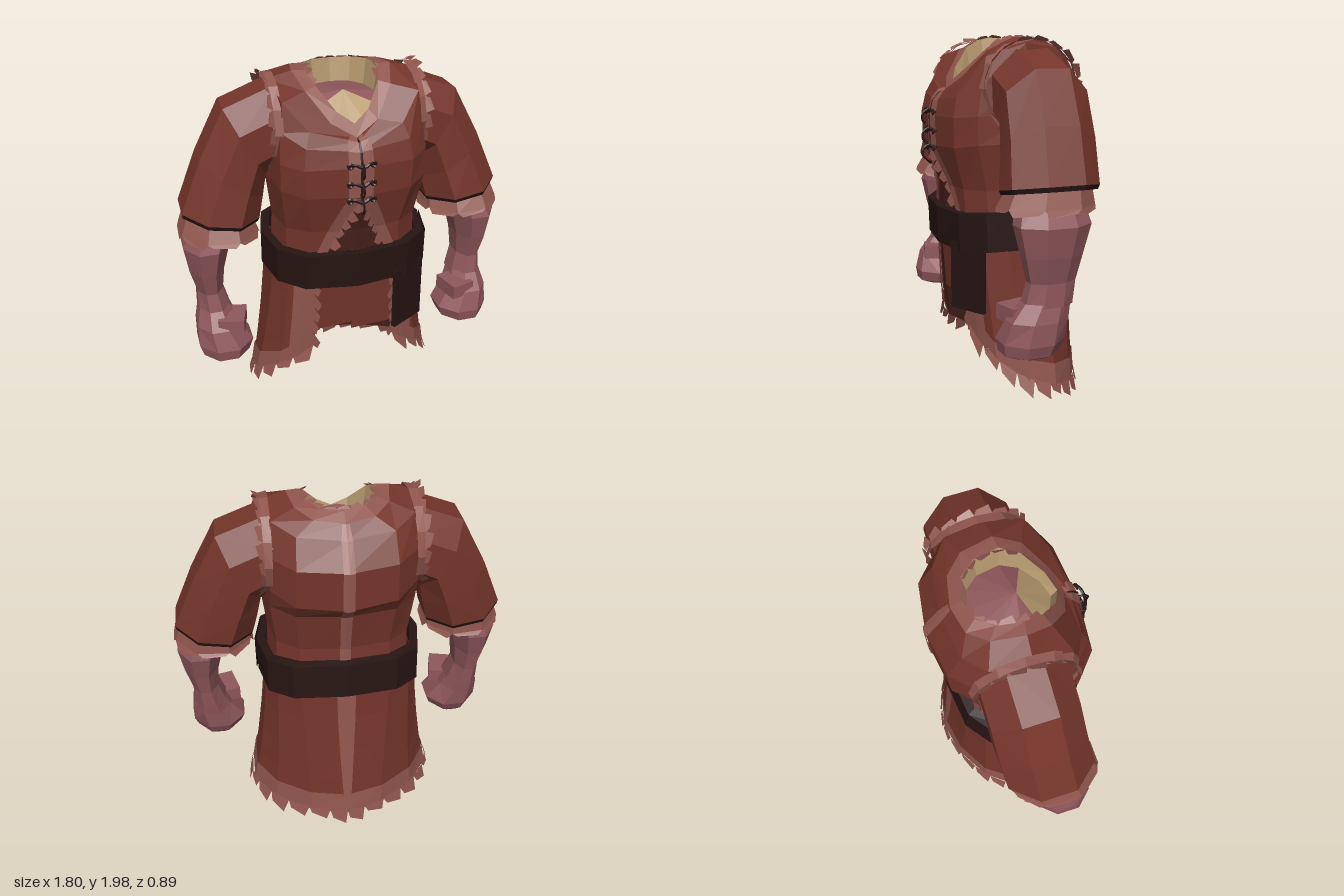
import * as THREE from 'three';

const RED = 0x74352b, DARK_RED = 0x47201b, TRIM = 0x90564e, LEATHER = 0x261412, SKIN = 0x8f575b, TAN = 0xb89b70;
const TAU = Math.PI * 2, SIDES = 12;
const V = (x, y, z) => new THREE.Vector3(x, y, z);

function mesh(parent, name, color, geo) {
  const m = new THREE.Mesh(geo, new THREE.MeshStandardMaterial({ color, flatShading: true, side: THREE.DoubleSide }));
  m.name = name;
  parent.add(m);
  return m;
}

function fromPoints(points) {
  const g = new THREE.BufferGeometry().setFromPoints(points);
  g.computeVertexNormals();
  return g;
}

// Grid of quads over fn(u, v); u runs right and v up when seen from outside
function sheet(parent, name, color, fn, [u0, u1, nu], [v0, v1, nv]) {
  const pts = [], at = (i, j) => fn(u0 + (u1 - u0) * i / nu, v0 + (v1 - v0) * j / nv);
  for (let i = 0; i < nu; i++) for (let j = 0; j < nv; j++) {
    const a = at(i, j), b = at(i + 1, j), c = at(i + 1, j + 1), d = at(i, j + 1);
    pts.push(a, b, c, a, c, d);
  }
  return mesh(parent, name, color, fromPoints(pts));
}

// Ragged row of fur teeth along base(t), pointing along dir(t)
function fringe(parent, name, color, base, dir, n, len) {
  const pts = [];
  for (let i = 0; i < n; i++) {
    const vary = 0.55 + 0.45 * Math.abs(Math.sin(i * 2.3 + 1));
    const tip = (t, k) => base(t).addScaledVector(dir(t), len * vary * k);
    const a = i / n, b = (i + 1) / n;
    const p = base(a), q = base(b), r = tip(b - 0.15 / n, 1), s = tip(a + 0.15 / n, 0.6);
    pts.push(p, r, q, p, s, r);
  }
  return mesh(parent, name, color, fromPoints(pts));
}

// Body ring: half width, front z, back z, y at side, front and back, squareness at back and front
function ringPoint([hw, zF, zB, yS, yF, yB, eB = 0.7, eF = eB], a) {
  const s = Math.sin(a), c = Math.cos(a), pow = k => Math.sign(k) * Math.abs(k) ** (c > 0 ? eF : eB);
  return V(hw * pow(s), yS + ((c > 0 ? yF : yB) - yS) * c * c, (zF + zB) / 2 + (zF - zB) / 2 * pow(c));
}
function facetPoint(ring, a) {
  const k = a / TAU * SIDES, i = Math.floor(k + 1e-9);
  return ringPoint(ring, i / SIDES * TAU).lerp(ringPoint(ring, (i + 1) / SIDES * TAU), k - i);
}
function body(rings) {
  return (a, v) => {
    const j = Math.max(0, Math.min(rings.length - 2, Math.floor(v + 1e-9)));
    return facetPoint(rings[j], a).lerp(facetPoint(rings[j + 1], a), v - j);
  };
}
const push = (fn, k) => (a, v) => { const p = fn(a, v); p.x *= k; p.z *= k; return p; };

// Limb ring: outer x, y, inner x, y, back z, front z
function limb(rings) {
  return (a, v) => {
    const j = Math.min(rings.length - 2, Math.floor(v + 1e-9)), f = v - j;
    const [tx, ty, bx, by, z0, z1] = rings[j].map((n, i) => n + (rings[j + 1][i] - n) * f);
    const c = Math.cos(a), s = Math.sin(a);
    return V((tx + bx) / 2 + (tx - bx) / 2 * c, (ty + by) / 2 + (ty - by) / 2 * c, (z0 + z1) / 2 + (z1 - z0) / 2 * s);
  };
}

function buildTorso(g) {
  const torso = body([
    [0.40, 0.30, -0.30, 0.95, 0.95, 0.95],
    [0.39, 0.32, -0.285, 1.20, 1.20, 1.20],
    [0.42, 0.38, -0.33, 1.45, 1.41, 1.43, 0.7, 0.6],
    [0.415, 0.385, -0.40, 1.59, 1.57, 1.51, 0.7, 0.55],
    [0.405, 0.365, -0.405, 1.77, 1.65, 1.73, 0.7, 0.6],
    [0.39, 0.33, -0.32, 1.945, 1.69, 1.86],
    [0.26, 0.30, -0.27, 1.98, 1.70, 1.925, 0.8, 1.1],
    [0.195, 0.26, -0.21, 1.98, 1.76, 1.965, 0.85, 1.25],
    [0.175, 0.23, -0.19, 1.84, 1.71, 1.84, 0.85, 1.2],
  ]);
  sheet(g, 'torso', RED, torso, [0, TAU, SIDES], [0, 6, 6]);
  sheet(g, 'collarTrim', TRIM, torso, [0, TAU, SIDES], [6, 7, 1]);
  sheet(g, 'collarLining', TAN, torso, [0, TAU, SIDES], [7, 8, 1]);
  const floor = (a, v) => torso(a, 8).lerp(V(0, 1.87, 0.05), v);
  sheet(g, 'collarFloorBack', SKIN, floor, [Math.PI / 3, TAU - Math.PI / 3, 8], [0, 1, 1]);
  sheet(g, 'collarFloorFront', TAN, floor, [-Math.PI / 3, Math.PI / 3, 4], [0, 1, 1]);
  fringe(g, 'collarFur', TRIM, t => torso(1.1 + t * (TAU - 2.2), 7), t => {
    const a = 1.1 + t * (TAU - 2.2);
    return V(-Math.sin(a) * 0.8, 0.35, -Math.cos(a) * 0.5);
  }, 13, 0.045);

  // Centre trims and seam
  sheet(g, 'chestTrim', TRIM, push(torso, 1.02), [-0.12, 0.12, 2], [2, 6, 4]);
  sheet(g, 'chestSeam', LEATHER, push(torso, 1.035), [-0.012, 0.012, 2], [2, 6, 4]);
  sheet(g, 'backStripe', TRIM, push(torso, 1.02), [Math.PI - 0.06, Math.PI + 0.06, 2], [0, 6, 6]);

  // Flared opening under the laces
  const wide = v => 0.32 * (2 - v) / 1.5;
  sheet(g, 'waistOpening', DARK_RED, (u, v) => push(torso, 1.015)(u * wide(v), v), [-1, 1, 4], [0.5, 2, 6]);
  for (const m of [-1, 1]) {
    const edge = (u, v) => push(torso, 1.04)(m * (wide(v) + u * 0.12), v);
    sheet(g, 'openingTrim', TRIM, edge, [0, 1, 1], [0.5, 2, 6]);
    fringe(g, 'openingFur', TRIM, t => edge(0, 0.6 + t * 1.3), () => V(-m * 0.6, -0.8, 0.35), 5, 0.055);
  }

  // Laces
  for (const y of [1.59, 1.49, 1.40]) {
    const bow = new THREE.CatmullRomCurve3([V(-0.075, y, 0.385), V(-0.04, y + 0.01, 0.405), V(0, y - 0.005, 0.415), V(0.04, y + 0.01, 0.405), V(0.075, y, 0.385)]);
    mesh(g, 'lace', LEATHER, new THREE.TubeGeometry(bow, 10, 0.009, 5));
    for (const x of [-0.06, 0.06]) mesh(g, 'laceEyelet', LEATHER, new THREE.TorusGeometry(0.014, 0.005, 4, 8)).position.set(x, y, 0.395);
    const loop = mesh(g, 'laceLoop', LEATHER, new THREE.TorusGeometry(0.042, 0.006, 4, 8, Math.PI));
    loop.rotation.y = -Math.PI / 2;
    loop.rotateZ(-0.9);
    loop.position.set(0, y - 0.03, 0.395);
  }
}

function buildSkirt(g) {
  const A0 = 0.4, A1 = TAU - A0;
  const top = [0.425, 0.30, -0.335, 0.98, 0.98, 0.98], hem = [0.53, 0.28, -0.425, 0, 0, 0, 1.2, 0.9];
  const skirt = (a, v) => {
    const d = Math.min(a, TAU - a) - A0, w = 1 - v;
    const p = ringPoint(top, a).lerp(ringPoint(hem, a), w ** 1.5);
    p.y = 0.98 + (0.07 + 0.39 * Math.exp(-d / 0.85) - 0.98) * w;
    return p;
  };
  sheet(g, 'skirt', RED, skirt, [A0, A1, 12], [0, 1, 4]);
  sheet(g, 'skirtLining', DARK_RED, push(skirt, 0.98), [A0, A1, 12], [0, 1, 4]);
  const out = push(skirt, 1.018);
  sheet(g, 'hemTrim', TRIM, out, [A0, A1, 12], [0, 0.15, 1]);
  sheet(g, 'skirtBackStripe', TRIM, out, [Math.PI - 0.05, Math.PI + 0.05, 2], [0, 1, 4]);
  fringe(g, 'hemFur', TRIM, t => out(A0 + t * (A1 - A0), 0.02), t => {
    const a = A0 + t * (A1 - A0);
    return V(Math.sin(a) * 0.3, -1, Math.cos(a) * 0.2);
  }, 22, 0.095);
  for (const m of [0, 1]) {
    const edge = (u, v) => push(skirt, 1.03)(m ? TAU - A0 - u : A0 + u, v);
    sheet(g, 'frontEdgeTrim', TRIM, edge, [0, 0.32, 2], [0, 1, 4]);
    fringe(g, 'frontEdgeFur', TRIM, t => edge(0, t * 0.85), () => V(m ? 0.6 : -0.6, -0.9, 0.15), 5, 0.065);
  }
  // Overlapping under-flaps
  const flap = (x0, x1, z, y) => (u, v) => V(x0 + (x1 - x0) * u, y + (0.98 - y) * v + 0.02 * u * (1 - v), z - 0.03 * (1 - v));
  sheet(g, 'flapRight', RED, flap(-0.26, 0.07, 0.26, 0.54), [0, 1, 3], [0, 1, 2]);
  sheet(g, 'flapLeft', RED, (u, v) => flap(-0.01 + 0.08 * v * v, 0.27, 0.285, 0.53)(u, v), [0, 1, 3], [0, 1, 3]);
}

function buildBelt(g) {
  const belt = body([
    [0.41, 0.31, -0.31, 0.90, 0.88, 0.95],
    [0.455, 0.355, -0.36, 0.90, 0.87, 0.93],
    [0.455, 0.36, -0.335, 1.10, 1.07, 1.12],
    [0.41, 0.31, -0.28, 1.10, 1.07, 1.13],
  ]);
  sheet(g, 'belt', LEATHER, belt, [0, TAU, SIDES], [0, 3, 3]);
  sheet(g, 'beltOverlap', LEATHER, push(belt, 1.02), [Math.PI / 9, Math.PI / 2, 7], [1, 2, 1]);
  const strap = mesh(g, 'beltStrap', LEATHER, new THREE.BoxGeometry(0.22, 0.36, 0.025));
  strap.position.set(0.305, 0.74, 0.29);
  strap.rotation.y = 0.52;
}

function buildArm(side) {
  const g = new THREE.Group();
  g.name = side > 0 ? 'leftArm' : 'rightArm';
  g.scale.x = side;
  const around = [Math.PI / 8, TAU + Math.PI / 8, 8];
  sheet(g, 'sleeve', RED, limb([
    [0.34, 1.95, 0.36, 1.48, -0.27, 0.20],
    [0.63, 1.84, 0.41, 1.44, -0.27, 0.20],
    [0.775, 1.57, 0.43, 1.33, -0.265, 0.22],
    [0.89, 1.30, 0.455, 1.22, -0.25, 0.25],
  ]), around, [0, 3, 3]);
  const rim = limb([[0.89, 1.30, 0.455, 1.22, -0.25, 0.25], [0.885, 1.275, 0.465, 1.20, -0.24, 0.24], [0.80, 1.27, 0.55, 1.22, -0.18, 0.19]]);
  sheet(g, 'sleeveRim', LEATHER, rim, around, [0, 2, 2]);
  const cuff = limb([[0.86, 1.29, 0.49, 1.23, -0.21, 0.22], [0.9, 1.19, 0.47, 1.16, -0.22, 0.27]]);
  sheet(g, 'cuff', TRIM, cuff, around, [0, 1, 1]);
  fringe(g, 'cuffFur', TRIM, t => cuff(Math.PI / 8 + t * TAU, 1), t => V(Math.cos(t * TAU) * 0.2, -1, Math.sin(t * TAU) * 0.2), 8, 0.035);

  // Fur around the armhole
  const hole = limb([[0.35, 1.97, 0.36, 1.48, -0.30, 0.25], [0.405, 1.965, 0.40, 1.48, -0.285, 0.225]]);
  sheet(g, 'armholeTrim', TRIM, hole, [0, TAU, 12], [0, 1, 1]);
  fringe(g, 'armholeFur', TRIM, t => hole(t * TAU, 0.8), t => V(0.7, Math.cos(t * TAU) * 0.4, Math.sin(t * TAU) * 0.3), 18, 0.055);

  // Forearm and fist
  const row = (y, x0, x1, z0, z1) => [x1, y, x0, y, z0, z1];
  sheet(g, 'forearm', SKIN, limb([
    row(1.27, 0.58, 0.82, -0.13, 0.17), row(1.10, 0.63, 0.895, -0.175, 0.225),
    row(0.95, 0.67, 0.87, -0.13, 0.19), row(0.82, 0.685, 0.835, -0.10, 0.155),
    row(0.70, 0.65, 0.84, -0.09, 0.18),
  ]), around, [0, 4, 4]);
  sheet(g, 'fist', SKIN, limb([
    row(0.72, 0.66, 0.835, -0.08, 0.18), row(0.63, 0.62, 0.86, -0.07, 0.25), row(0.52, 0.545, 0.865, -0.06, 0.285),
    row(0.46, 0.57, 0.845, -0.03, 0.275), row(0.43, 0.64, 0.78, 0, 0.2), row(0.43, 0.71, 0.71, 0.1, 0.1),
  ]), around, [0, 5, 5]);
  const thumb = mesh(g, 'thumb', SKIN, new THREE.BoxGeometry(0.14, 0.08, 0.17));
  thumb.rotation.y = 0.25;
  thumb.position.set(0.66, 0.65, 0.155);
  return g;
}

export function createModel() {
  const model = new THREE.Group();
  model.name = 'furTrimmedTunic';
  buildTorso(model);
  buildSkirt(model);
  buildBelt(model);
  model.add(buildArm(1), buildArm(-1));
  return model;
}
